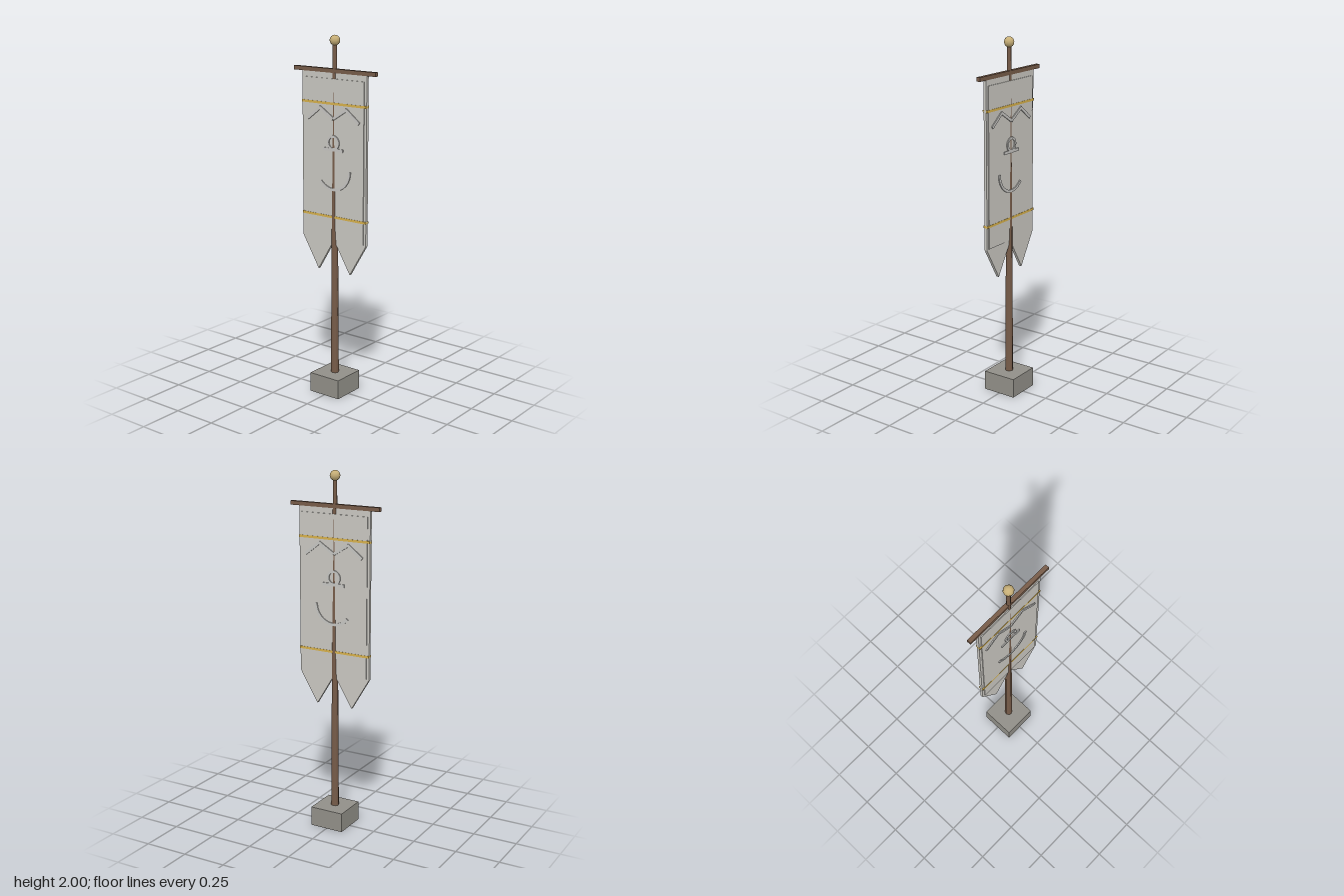
import * as THREE from 'three';

const mat = (name, color) => {
  const m = new THREE.MeshStandardMaterial({ color });
  m.name = name;
  return m;
};

export function createModel() {
  const group = new THREE.Group();
  const stone = mat('stone', 0x918f88);
  const wood = mat('wood', 0x775c49);
  const cloth = mat('cloth', 0xc9c7c1);
  const gold = mat('gold trim', 0xd6b04c);
  const brass = mat('brass', 0xc8b078);
  const silver = mat('silver emblem', 0xc6c5c2);

  const add = (name, geo, material, x = 0, y = 0, z = 0, parent = group) => {
    const mesh = new THREE.Mesh(geo, material);
    mesh.name = name;
    mesh.position.set(x, y, z);
    parent.add(mesh);
    return mesh;
  };
  const box = (w, h, d) => new THREE.BoxGeometry(w, h, d);

  // Stand, tapered pole, crossbar and ball
  add('base', box(0.196, 0.11, 0.196), stone, 0, 0.055);
  add('pole', new THREE.CylinderGeometry(0.0115, 0.0225, 1.85, 8), wood, 0, 1.03);
  add('crossbar', box(0.54, 0.022, 0.022), wood, 0, 1.812);
  add('finial', new THREE.SphereGeometry(0.028, 10, 8), brass, 0, 1.972);

  // Swallow-tailed cloth with a thicker middle panel
  const outline = new THREE.Shape([
    [-0.215, 1.802], [-0.215, 0.885], [-0.108, 0.705], [0, 0.885],
    [0.108, 0.705], [0.215, 0.885], [0.215, 1.802],
  ].map(([x, y]) => new THREE.Vector2(x, y)));
  const sheet = new THREE.ExtrudeGeometry(outline, { depth: 0.016, bevelEnabled: false });
  add('bannerCloth', sheet, cloth, 0, 0, -0.008);
  add('bannerPanel', box(0.4, 0.88, 0.025), cloth, 0, 1.33);
  for (const y of [1.638, 1.016]) add('trimStripe', box(0.43, 0.013, 0.028), gold, 0, y);

  // Emblem, running right through the cloth so it shows on both sides
  const emblem = new THREE.Group();
  emblem.name = 'emblem';
  group.add(emblem);
  const depth = 0.036;

  const bar = (name, x1, y1, x2, y2, t = 0.016) => {
    const length = Math.hypot(x2 - x1, y2 - y1);
    const m = add(name, box(length, t, depth), silver, (x1 + x2) / 2, (y1 + y2) / 2, 0, emblem);
    m.rotation.z = Math.atan2(y2 - y1, x2 - x1);
  };
  for (const s of [-1, 1]) {
    bar('wingInner', 0, 1.557, s * 0.09, 1.614);
    bar('wingOuter', s * 0.085, 1.614, s * 0.172, 1.547);
  }
  bar('crossPiece', -0.066, 1.39, 0.066, 1.39);

  // Flat band between two radii, from angle a to angle b
  const band = (name, y, inner, outer, a, b) => {
    const s = new THREE.Shape();
    s.absarc(0, 0, outer, a, b, false);
    s.absarc(0, 0, inner, b, a, true);
    const geo = new THREE.ExtrudeGeometry(s, { depth, bevelEnabled: false, curveSegments: 14 });
    add(name, geo, silver, 0, y, -depth / 2, emblem);
  };
  band('ringUpper', 1.428, 0.028, 0.041, 0, Math.PI);
  band('ringLower', 1.428, 0.028, 0.041, Math.PI, Math.PI * 2);
  band('hookArc', 1.28, 0.102, 0.117, -2.45, 0);

  return group;
}
